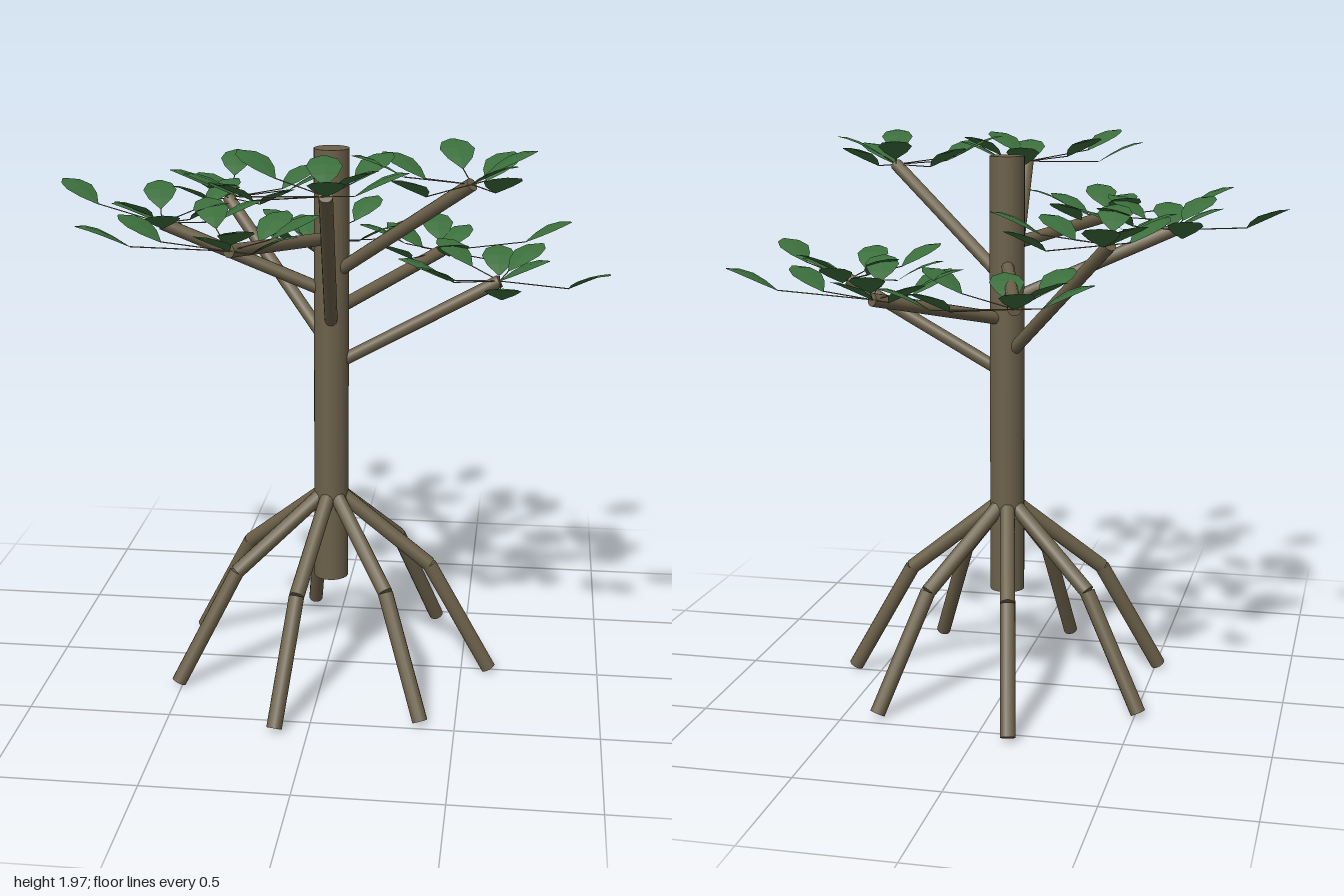
import * as THREE from 'three';

const bark = new THREE.MeshStandardMaterial({ color: 0x6b6049, name: 'bark' });
const foliage = new THREE.MeshStandardMaterial({ color: 0x3b6e3c, name: 'leafGreen', side: THREE.DoubleSide });

const CX = 0.015, CZ = 0.012; // trunk axis
const rad = THREE.MathUtils.degToRad;

// point at a radius and angle (x towards z) around the trunk
const around = (angle, r, y) => new THREE.Vector3(CX + r * Math.cos(angle), y, CZ + r * Math.sin(angle));

// straight round limb between two points
function limb(name, a, b, radius, sides) {
  const dir = b.clone().sub(a);
  const mesh = new THREE.Mesh(new THREE.CylinderGeometry(radius, radius, dir.length(), sides), bark);
  mesh.position.copy(a).add(b).multiplyScalar(0.5);
  mesh.quaternion.setFromUnitVectors(new THREE.Vector3(0, 1, 0), dir.normalize());
  mesh.name = name;
  return mesh;
}

// leaf along +x: narrow base, broad outer half, arching up and levelling out
function leafGeometry() {
  const rows = [[0, 0, 0.004], [0.045, 0.03, 0.042], [0.09, 0.055, 0.06], [0.135, 0.07, 0.045], [0.17, 0.073, 0.006]];
  const g = new THREE.PlaneGeometry(1, 1, rows.length - 1, 2).rotateX(-Math.PI / 2);
  const p = g.attributes.position;
  for (let i = 0; i < p.count; i++) {
    const [x, y, half] = rows[i % rows.length];
    const side = Math.floor(i / rows.length) - 1;
    p.setXYZ(i, x, y - Math.abs(side) * half * 0.08, side * half);
  }
  const flat = g.toNonIndexed();
  flat.computeVertexNormals();
  return flat;
}

// spiral of eight leaves, each on a longer twig than the last
function leafCluster(geometry) {
  const cluster = new THREE.Group();
  cluster.name = 'leafCluster';
  for (let i = 0; i < 8; i++) {
    const spray = new THREE.Group();
    spray.name = 'leafSpray';
    spray.rotation.y = rad(45 * i + 3);
    const base = new THREE.Vector3(0.045 * i, i % 2 ? 0.03 : 0, 0);
    if (i) spray.add(limb('twig', new THREE.Vector3(), base, 0.002, 5));
    const leaf = new THREE.Mesh(geometry, foliage);
    leaf.name = 'leaf';
    leaf.position.copy(base);
    spray.add(leaf);
    cluster.add(spray);
  }
  return cluster;
}

export function createModel() {
  const tree = new THREE.Group();
  tree.name = 'stiltRootTree';

  tree.add(limb('trunk', around(0, 0, 0.36), around(0, 0, 1.93), 0.062, 20));

  // seven bent stilt roots
  for (let i = 0; i < 7; i++) {
    const a = (i / 7) * Math.PI * 2;
    const root = new THREE.Group();
    root.name = 'stiltRoot';
    const knee = around(a, 0.36, 0.415);
    root.add(limb('upperRoot', around(a, 0.025, 0.685), knee, 0.027, 12));
    root.add(limb('lowerRoot', knee, around(a, 0.585, 0.014), 0.027, 12));
    tree.add(root);
  }

  // eight branches in a golden-angle spiral, ending on three levels
  const leaf = leafGeometry();
  for (let i = 0; i < 8; i++) {
    const a = rad(-137.5 * i);
    const tip = around(a, 0.585, 1.48 + 0.195 * (i % 3));
    tree.add(limb('branch', around(a, 0, 1.155 + 0.066 * i), tip, 0.023, 12));
    const cluster = leafCluster(leaf);
    cluster.position.copy(tip);
    cluster.rotation.y = -a;
    tree.add(cluster);
  }
  return tree;
}
